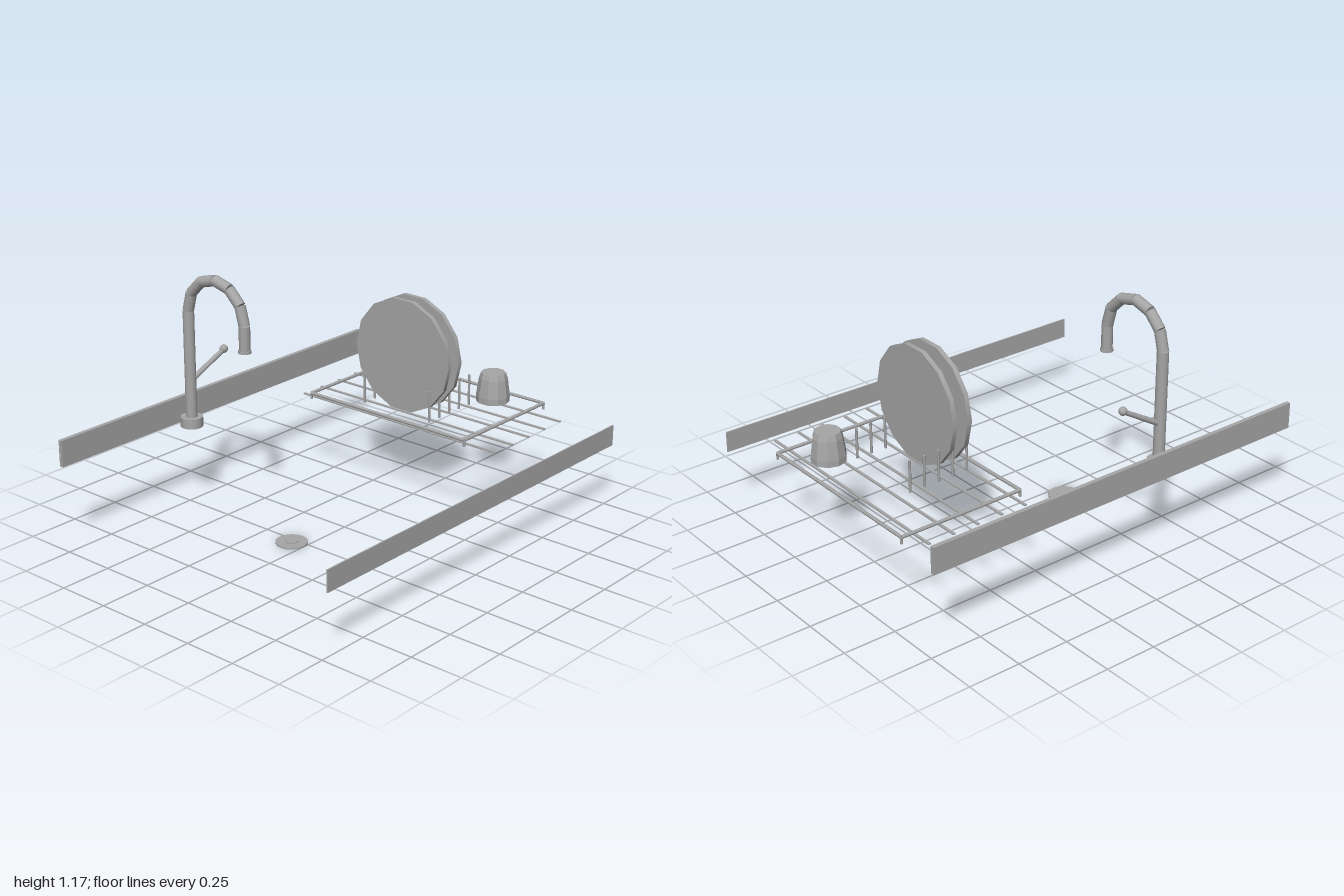
import * as THREE from 'three';

const UP = new THREE.Vector3(0, 1, 0);

export function createModel() {
  const model = new THREE.Group();
  model.name = 'sinkCounterSet';
  const grey = new THREE.MeshStandardMaterial({ color: 0xa6a6a6 });
  grey.name = 'plain grey';

  const group = (name) => {
    const g = new THREE.Group();
    g.name = name;
    model.add(g);
    return g;
  };
  const add = (parent, name, geometry, x = 0, y = 0, z = 0) => {
    const mesh = new THREE.Mesh(geometry, grey);
    mesh.name = name;
    mesh.position.set(x, y, z);
    parent.add(mesh);
    return mesh;
  };
  // Cylinder between two points
  const rod = (parent, name, a, b, r, sides = 8, rEnd = r) => {
    const from = new THREE.Vector3(...a), to = new THREE.Vector3(...b);
    const dir = to.clone().sub(from);
    const mid = from.clone().add(to).multiplyScalar(0.5);
    const mesh = add(parent, name, new THREE.CylinderGeometry(rEnd, r, dir.length(), sides), mid.x, mid.y, mid.z);
    mesh.quaternion.setFromUnitVectors(UP, dir.normalize());
    return mesh;
  };

  // Long strips at the back and front of the counter
  add(model, 'backsplash', new THREE.BoxGeometry(2, 0.125, 0.02), 0, 0.4675, -0.77);
  add(model, 'frontEdge', new THREE.BoxGeometry(2, 0.1, 0.006), 0, 0.355, 0.777);

  // Tap with a segmented gooseneck
  const tap = group('tap');
  const tx = -0.28, tz = -0.69, bendR = 0.175, bendY = 0.965;
  rod(tap, 'tapBase', [tx, 0.405, tz], [tx, 0.452, tz], 0.053, 14);
  rod(tap, 'tapPost', [tx, 0.45, tz], [tx, bendY, tz], 0.027, 12);
  const bend = (i) => {
    const a = (i * Math.PI) / 6;
    return [tx, bendY + bendR * Math.sin(a), tz + bendR * (1 - Math.cos(a))];
  };
  for (let i = 0; i < 6; i++) rod(tap, 'tapBend', bend(i), bend(i + 1), 0.026, 10);
  const spoutZ = tz + 2 * bendR;
  rod(tap, 'spout', [tx, bendY, spoutZ], [tx, 0.845, spoutZ], 0.026, 10);
  rod(tap, 'spoutTip', [tx, 0.853, spoutZ], [tx, 0.841, spoutZ], 0.03, 10);
  rod(tap, 'handle', [tx + 0.015, 0.63, tz], [-0.083, 0.733, -0.667], 0.013, 8, 0.011);
  add(tap, 'handleKnob', new THREE.SphereGeometry(0.02, 10, 8), -0.083, 0.735, -0.667);

  // Drain in the sink floor
  const drain = group('drain');
  rod(drain, 'drainPlate', [tx, 0, -0.071], [tx, 0.007, -0.071], 0.074, 16);
  rod(drain, 'drainCap', [tx, 0.006, -0.071], [tx, 0.011, -0.071], 0.03, 12);

  // Dish rack frame, feet, floor wires and dividers
  const rack = group('dishRack');
  const x0 = 0.341, x1 = 0.957, z0 = -0.505, z1 = 0.415, railY = 0.435;
  for (const x of [x0, x1]) {
    rod(rack, 'sideRail', [x, railY, z0], [x, railY, z1], 0.008);
    for (const z of [z0, z1]) rod(rack, 'foot', [x, 0.405, z], [x, railY, z], 0.006);
  }
  for (const z of [z0, z1]) rod(rack, 'endRail', [x0, railY, z], [x1, railY, z], 0.008);
  for (let i = 0; i < 5; i++) {
    add(rack, 'floorWire', new THREE.BoxGeometry(0.013, 0.006, 1.15), 0.372 + i * 0.125, 0.406, -0.005);
    const x = 0.411 + i * 0.075;
    for (const z of [-0.23, 0.158]) rod(rack, 'divider', [x, 0.435, z], [x, 0.585, z], 0.006, 6);
  }

  // Two plates standing on edge
  const plates = group('plates');
  for (const x of [0.447, 0.523]) {
    const plate = add(plates, 'plate', new THREE.CylinderGeometry(0.274, 0.274, 0.022, 14), x, 0.71, -0.029);
    plate.rotation.z = Math.PI / 2;
  }

  // Upturned cup
  const profile = [[0, 0.44], [0.08, 0.44], [0.08, 0.44], [0.08, 0.47], [0.068, 0.555],
    [0.059, 0.582], [0.059, 0.582], [0, 0.582]].map(([r, y]) => new THREE.Vector2(r, y));
  const cup = new THREE.LatheGeometry(profile, 10).toNonIndexed();
  cup.computeVertexNormals();
  add(model, 'cup', cup, 0.82, 0, 0.218);

  return model;
}
